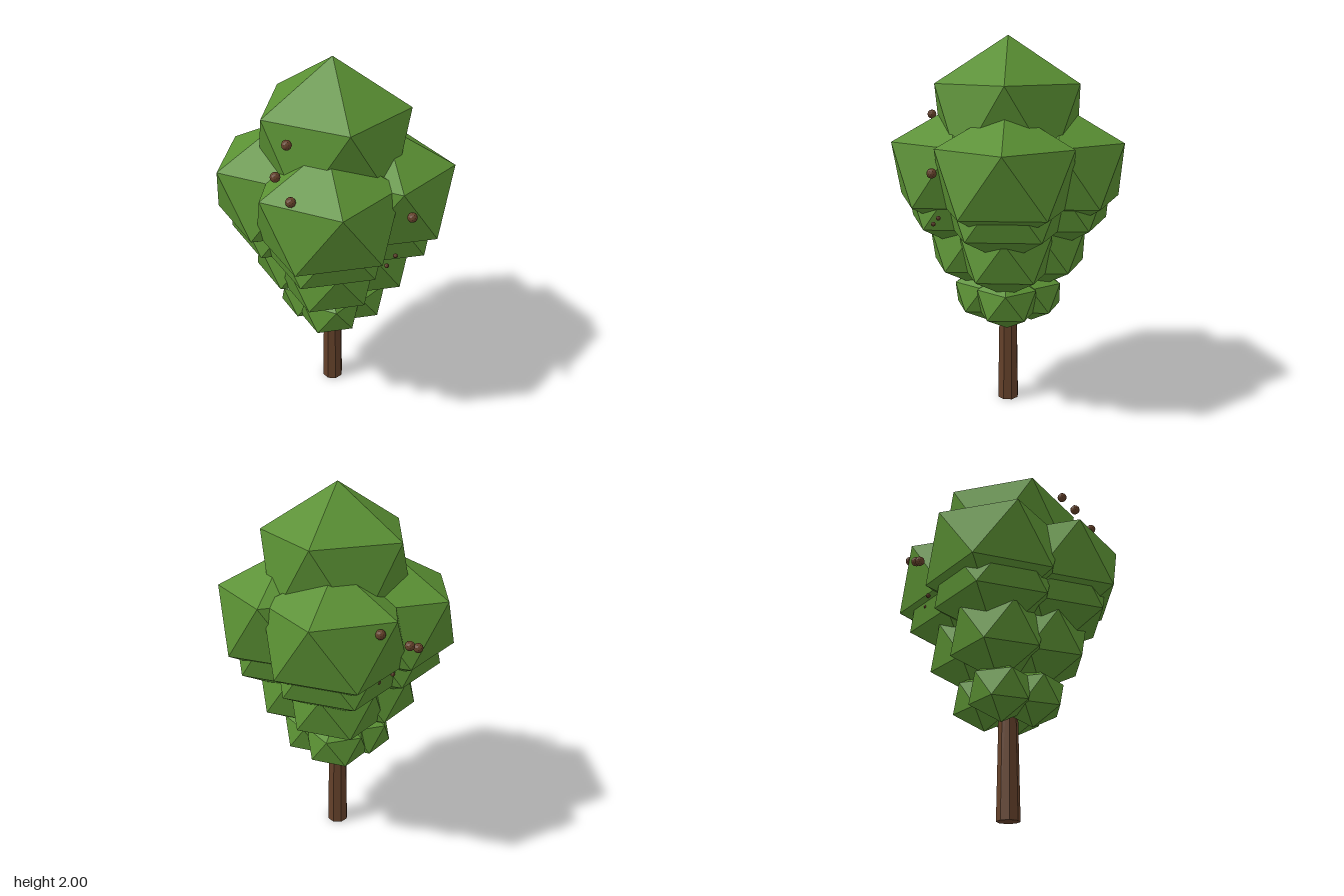
import * as THREE from 'three';

const leafGreen = new THREE.MeshStandardMaterial({ color: 0x5a9033, flatShading: true });
leafGreen.name = 'leafGreen';
const barkBrown = new THREE.MeshStandardMaterial({ color: 0x64412a, flatShading: true });
barkBrown.name = 'barkBrown';

// Icosahedron standing on a vertex, with an upper corner towards +x
function clumpGeometry(radius) {
  return new THREE.IcosahedronGeometry(radius, 0).rotateZ(-Math.atan(2 / (1 + Math.sqrt(5))));
}

function addMesh(parent, name, geometry, material, x, y, z) {
  const mesh = new THREE.Mesh(geometry, material);
  mesh.name = name;
  mesh.position.set(x, y, z);
  parent.add(mesh);
  return mesh;
}

export function createModel() {
  const tree = new THREE.Group();
  tree.name = 'tree';

  // Tapered eight-sided trunk
  const trunk = new THREE.CylinderGeometry(0.043, 0.06, 1, 8, 1, false, Math.PI / 8);
  addMesh(tree, 'trunk', trunk, barkBrown, 0, 0.5, 0);

  // Crown: one clump on top, then tiers of four slightly flattened clumps
  const crown = new THREE.Group();
  crown.name = 'crown';
  tree.add(crown);
  addMesh(crown, 'topClump', clumpGeometry(0.431), leafGreen, 0, 1.569, 0);

  const tiers = [ // centre height, distance from trunk, radius
    [1.31, 0.26, 0.398],
    [1.172, 0.236, 0.351],
    [0.902, 0.177, 0.275],
    [0.622, 0.129, 0.183],
  ];
  tiers.forEach(([y, offset, radius], i) => {
    const geometry = clumpGeometry(radius).scale(1, 0.872, 1);
    for (const [dx, dz] of [[1, 0], [-1, 0], [0, 1], [0, -1]]) {
      addMesh(crown, `tier${i + 1}Clump`, geometry, leafGreen, dx * offset, y, dz * offset);
    }
  });

  // Cones dotted around the crown, large ones high up and small ones below
  const cones = new THREE.Group();
  cones.name = 'cones';
  tree.add(cones);
  const large = [
    [-0.17, 1.705, 0.357], [-0.214, 1.58, 0.433], [-0.136, 1.493, 0.5], [0.414, 1.355, 0.345],
    [-0.352, 1.32, -0.41], [-0.396, 1.29, -0.367], [-0.21, 1.42, -0.51],
  ];
  const small = [
    [0.345, 1.12, 0.328], [0.305, 1.08, 0.36], [-0.21, 1.12, -0.4], [-0.28, 1.145, -0.36],
  ];
  const largeGeometry = new THREE.IcosahedronGeometry(0.025, 1);
  const smallGeometry = new THREE.IcosahedronGeometry(0.012, 1);
  large.forEach((p) => addMesh(cones, 'largeCone', largeGeometry, barkBrown, ...p));
  small.forEach((p) => addMesh(cones, 'smallCone', smallGeometry, barkBrown, ...p));

  return tree;
}
